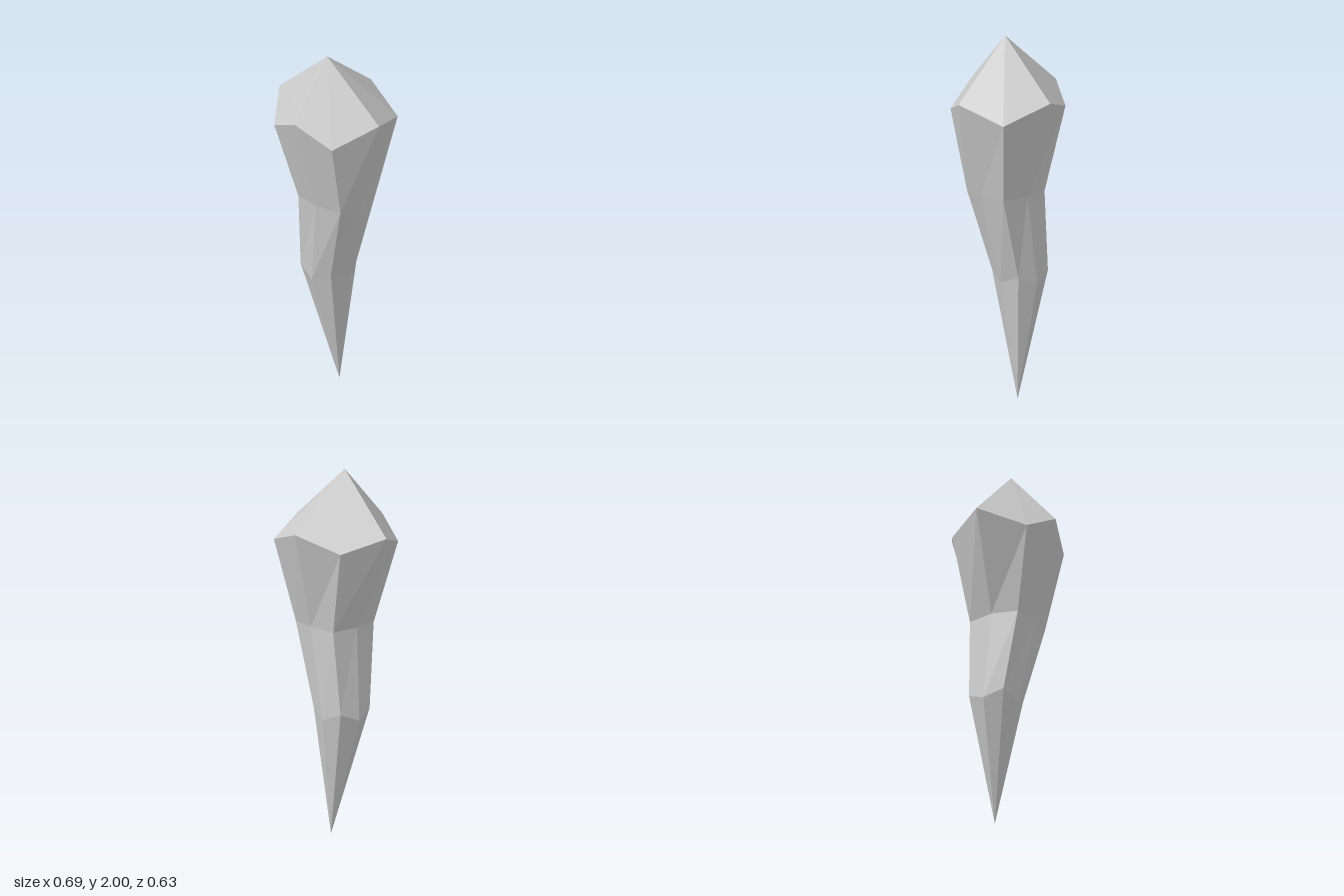
import * as THREE from 'three';

// Faceted shard: eight-sided rings between two off-centre points.
// Ring corners run from the front (+z) round through +x, as [x, y, z].
const TOP = [0, 2, 0.045];
const BOTTOM = [0, 0, -0.055];

const crownRing = [
  [0, 1.7, 0.315], [0.205, 1.587, 0.25], [0.345, 1.69, 0.028], [0.257, 1.61, -0.23],
  [0, 1.705, -0.315], [-0.22, 1.618, -0.19], [-0.345, 1.69, 0.028], [-0.195, 1.6, 0.25],
];

// Squarish ring: four side corners at radius r, four diagonals offset by d
function ring(cx, cz, r, d, ySide, yDiagonal) {
  const corners = [];
  for (let i = 0; i < 8; i++) {
    const a = (i * Math.PI) / 4;
    const diagonal = i % 2 === 1;
    const s = diagonal ? d * Math.SQRT2 : r;
    corners.push([cx + s * Math.sin(a), diagonal ? yDiagonal : ySide, cz + s * Math.cos(a)]);
  }
  return corners;
}

const waistRing = ring(0.033, 0.003, 0.174, 0.146, 1.16, 1.155);
const lowerRing = ring(-0.047, -0.021, 0.138, 0.105, 0.658, 0.702);

function facetMesh(name, triangles, material) {
  const geometry = new THREE.BufferGeometry();
  geometry.setAttribute('position', new THREE.Float32BufferAttribute(triangles.flat(2), 3));
  geometry.computeVertexNormals();
  const mesh = new THREE.Mesh(geometry, material);
  mesh.name = name;
  return mesh;
}

// Triangles from a ring to a point above or below it
function cap(corners, tip, up) {
  return corners.map((a, i) => {
    const b = corners[(i + 1) % 8];
    return up ? [a, b, tip] : [b, a, tip];
  });
}

// Quads between a lower and an upper ring
function band(low, high) {
  return low.flatMap((a, i) => {
    const j = (i + 1) % 8;
    return [[a, low[j], high[j]], [a, high[j], high[i]]];
  });
}

export function createModel() {
  const group = new THREE.Group();
  group.name = 'crystalShard';
  const material = new THREE.MeshStandardMaterial({ color: 0xcccccc, flatShading: true });

  group.add(
    facetMesh('crown', cap(crownRing, TOP, true), material),
    facetMesh('upperBody', band(waistRing, crownRing), material),
    facetMesh('lowerBody', band(lowerRing, waistRing), material),
    facetMesh('point', cap(lowerRing, BOTTOM, false), material),
  );
  return group;
}
